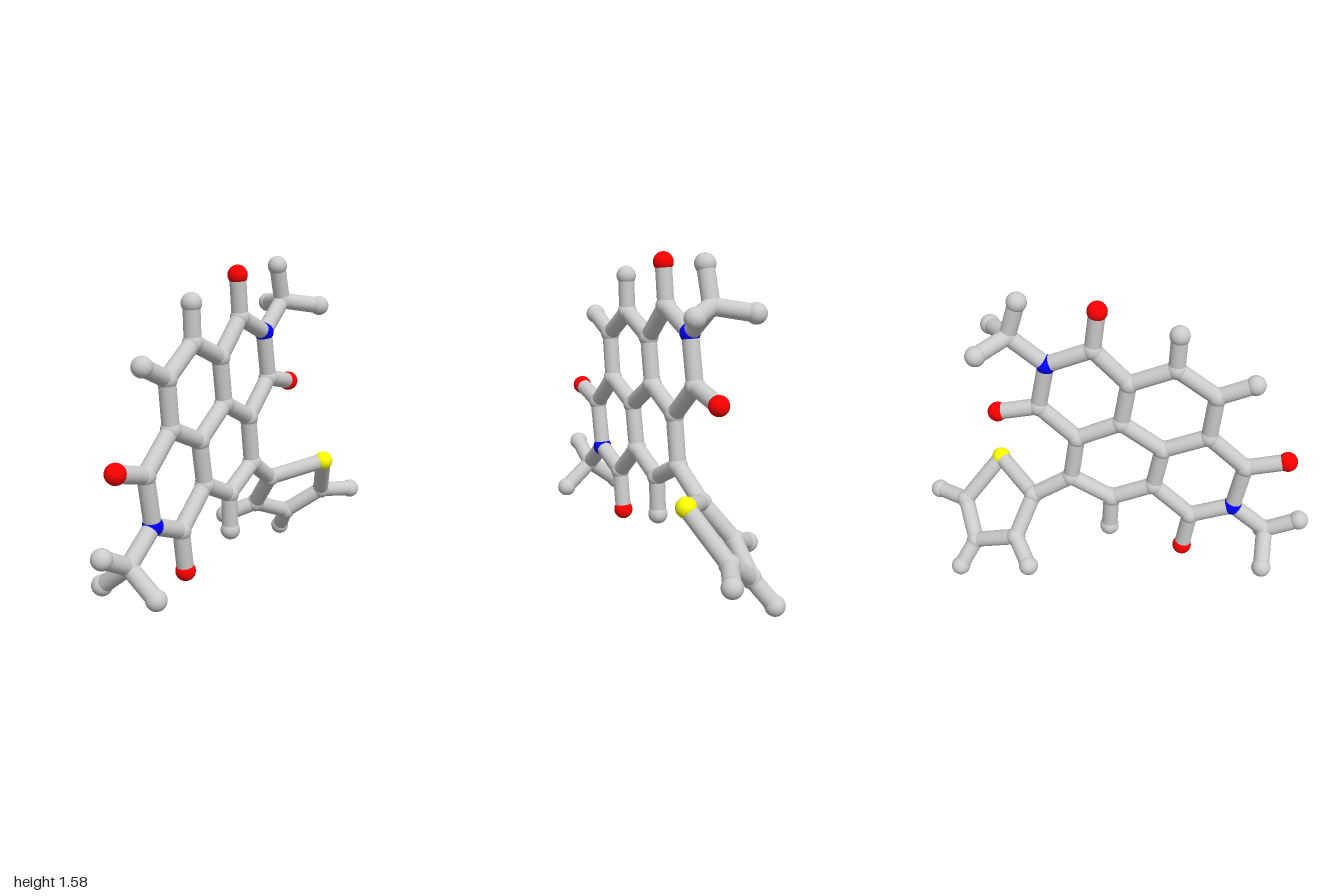
import * as THREE from 'three';

const ATOM_R = 0.048, BOND_R = 0.04;
const mat = (color) => new THREE.MeshStandardMaterial({ color });
const grey = mat(0xcccccc), red = mat(0xff0000), blue = mat(0x0000ff), yellow = mat(0xffff00);
const atomGeo = new THREE.SphereGeometry(ATOM_R, 24, 16);

// The fused ring sheet is flat and slightly turned about y
const flat = (x, y) => new THREE.Vector3(x, y, 0.06 - 0.035 * x);
const at = (x, y, z) => new THREE.Vector3(x, y, z);

function addAtom(group, name, p, material = grey) {
  const m = new THREE.Mesh(atomGeo, material);
  m.name = name;
  m.position.copy(p);
  group.add(m);
}

function addBond(group, a, b) {
  const d = b.clone().sub(a);
  const m = new THREE.Mesh(new THREE.CylinderGeometry(BOND_R, BOND_R, d.length(), 20, 1, true), grey);
  m.name = 'bond';
  m.position.copy(a).addScaledVector(d, 0.5);
  m.quaternion.setFromUnitVectors(new THREE.Vector3(0, 1, 0), d.normalize());
  group.add(m);
}

// A ball at the end of a stick
function addBranch(group, name, from, to, material = grey) {
  addBond(group, from, to);
  addAtom(group, name, to, material);
}

export function createModel() {
  const model = new THREE.Group();
  model.name = 'stickMolecule';
  const part = (name) => {
    const g = new THREE.Group();
    g.name = name;
    model.add(g);
    return g;
  };

  // Four fused six-sided rings
  const core = part('fusedRings');
  const c = {
    a: flat(-0.09, 1.14), b: flat(-0.31, 1.235), c: flat(-0.505, 1.10), d: flat(-0.48, 0.87),
    e: flat(-0.26, 0.775), f: flat(-0.055, 0.915), g: flat(0.16, 0.81), h: flat(0.195, 0.57),
    i: flat(-0.01, 0.46), j: flat(-0.22, 0.555), k: flat(-0.41, 0.385), l: flat(-0.665, 0.705),
    m: flat(0.08, 1.31), n: flat(0.345, 0.98), P: flat(0.30, 1.215), Q: flat(-0.62, 0.465),
  };
  for (const [key, p] of Object.entries(c)) {
    const nitrogen = key === 'P' || key === 'Q';
    addAtom(core, nitrogen ? 'nitrogenAtom' : 'carbonAtom', p, nitrogen ? blue : grey);
  }
  for (const pair of 'ab bc cd de ef fa fg gh hi ij je jk kQ Ql ld am mP Pn ng'.split(' '))
    addBond(core, c[pair[0]], c[pair[1]]);

  // Oxygen and hydrogen branches of the sheet
  const branches = part('sheetBranches');
  for (const [key, x, y] of [['m', 0.057, 1.51], ['n', 0.548, 0.932], ['k', -0.378, 0.18], ['l', -0.865, 0.758]])
    addBranch(branches, 'oxygenAtom', c[key], flat(x, y), red);
  for (const [key, x, y] of [['b', -0.318, 1.412], ['c', -0.677, 1.177], ['i', 0, 0.272]])
    addBranch(branches, 'hydrogenAtom', c[key], flat(x, y));

  // Methyl groups on both nitrogen atoms
  const methyl = (name, root, centre, ends) => {
    const g = part(name);
    addBranch(g, 'carbonAtom', root, centre);
    ends.forEach((p) => addBranch(g, 'hydrogenAtom', centre, p));
  };
  methyl('upperMethyl', c.P, at(0.475, 1.355, 0.042),
    [at(0.423, 1.532, 0.045), at(0.595, 1.328, 0.188), at(0.587, 1.328, -0.115)]);
  methyl('lowerMethyl', c.Q, at(-0.79, 0.33, 0.085),
    [at(-0.953, 0.412, 0.083), at(-0.782, 0.21, 0.23), at(-0.79, 0.21, -0.07)]);

  // Five-sided ring with sulphur, twisted out of the sheet
  const side = part('sulphurRing');
  const ring = [
    at(0.39, 0.445, 0.035), at(0.603, 0.518, 0.23), at(0.78, 0.30, 0.117),
    at(0.69, 0.172, -0.05), at(0.46, 0.265, -0.10),
  ];
  const ends = [null, null, at(0.95, 0.28, 0.205), at(0.76, 0.052, -0.132), at(0.367, 0.198, -0.233)];
  addBond(side, c.h, ring[0]);
  ring.forEach((p, i) => {
    addAtom(side, i === 1 ? 'sulphurAtom' : 'carbonAtom', p, i === 1 ? yellow : grey);
    addBond(side, p, ring[(i + 1) % 5]);
    if (ends[i]) addBranch(side, 'hydrogenAtom', p, ends[i]);
  });

  return model;
}
